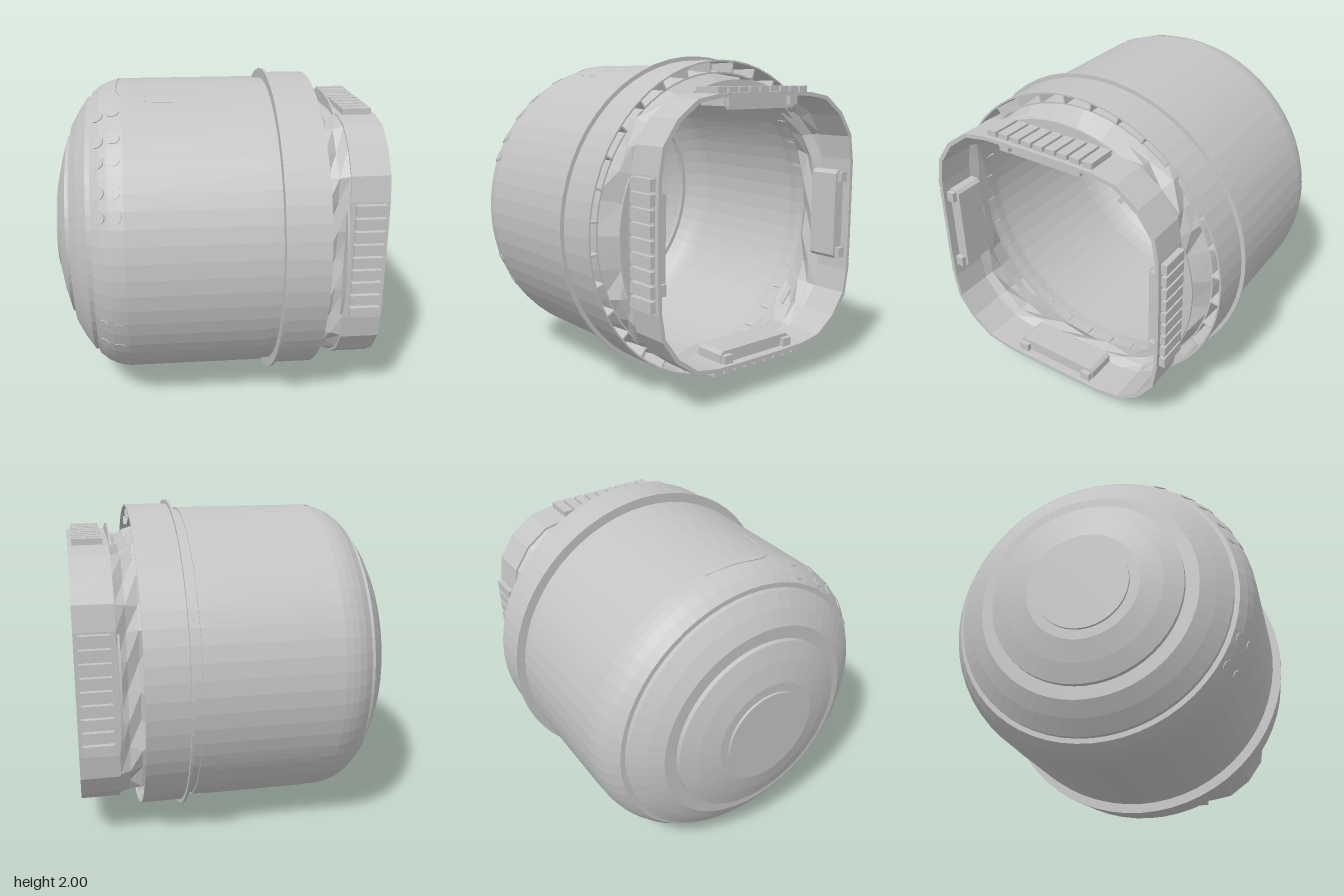
import * as THREE from 'three';

export function createModel() {
  const model = new THREE.Group();
  const body = new THREE.Group(); // long axis along x, raised to stand on the ground
  body.name = 'module';
  body.position.y = 1;
  model.add(body);

  const grey = new THREE.MeshStandardMaterial({ color: 0xc4c4c4, side: THREE.DoubleSide, flatShading: true });
  grey.name = 'metalGrey';

  const add = (geo, name, parent = body) => {
    const m = new THREE.Mesh(geo, grey);
    m.name = name;
    parent.add(m);
    return m;
  };
  const flat = (geo) => {
    const g = geo.index ? geo.toNonIndexed() : geo;
    g.computeVertexNormals();
    return g;
  };
  // Profile of [x, radius] turned round the x axis
  const turned = (profile, name) => {
    const g = new THREE.LatheGeometry(profile.map(([x, r]) => new THREE.Vector2(r, x)), 60);
    return add(flat(g.rotateZ(-Math.PI / 2)), name);
  };
  // Skin over closed loops of [x, y, z]
  const loft = (loops, name) => {
    const pos = [];
    for (let i = 0; i < loops.length - 1; i++) {
      const n = loops[i].length;
      for (let j = 0; j < n; j++) {
        const k = (j + 1) % n;
        const a = loops[i][j], b = loops[i][k], c = loops[i + 1][k], d = loops[i + 1][j];
        pos.push(...a, ...d, ...c, ...a, ...c, ...b);
      }
    }
    const g = new THREE.BufferGeometry();
    g.setAttribute('position', new THREE.Float32BufferAttribute(pos, 3));
    g.computeVertexNormals();
    return add(g, name);
  };
  const box = (x0, x1, y0, y1, z0, z1, name, parent) => {
    const g = new THREE.BoxGeometry(x1 - x0, y1 - y0, z1 - z0);
    return add(g.translate((x0 + x1) / 2, (y0 + y1) / 2, (z0 + z1) / 2), name, parent);
  };

  // Pressure hull with stepped domed end
  turned([[-0.99, 0], [-0.99, 0.28], [-0.975, 0.28], [-0.975, 0.34], [-0.945, 0.47], [-0.91, 0.58],
    [-0.88, 0.58], [-0.88, 0.66], [-0.83, 0.75], [-0.77, 0.835], [-0.74, 0.835], [-0.74, 0.865],
    [-0.69, 0.905], [-0.64, 0.93], [-0.6, 0.942], [-0.55, 0.95], [0.29, 0.95], [0.29, 0.94], [0.35, 0.94]], 'hull');

  // Flange and skirt with an open groove at the mouth
  turned([[0.345, 0.94], [0.345, 1], [0.36, 1], [0.36, 0.975], [0.615, 0.975], [0.615, 0.965],
    [0.42, 0.96], [0.42, 0.915], [0.58, 0.905], [0.58, 0.895], [0.345, 0.93]], 'skirt');
  for (let i = 0; i < 32; i++) {
    const arm = new THREE.Group();
    arm.name = 'grooveRib';
    arm.rotation.x = (i + 0.5) / 32 * Math.PI * 2;
    body.add(arm);
    box(0.42, 0.6, 0.905, 0.967, -0.005, 0.005, 'rib', arm);
  }

  // Rounded square section shared by the collar and docking ring
  const section = [];
  for (let q = 0; q < 4; q++) {
    for (const [a, b] of [[0.79, -0.19], [0.79, 0], [0.79, 0.19], [0.785, 0.37], [0.76, 0.52], [0.66, 0.66],
      [0.52, 0.76], [0.37, 0.785]]) {
      const r = [[a, b], [-b, a], [-a, -b], [b, -a]][q];
      section.push({ z: r[0], y: r[1] });
    }
  }
  const square = (x, s, jag = 0) => section.map(({ y, z }, i) => {
    const k = s + (i % 2 ? jag : -jag);
    return [x, y * k, z * k];
  });
  const round = (x, r) => section.map(({ y, z }) => {
    const l = Math.hypot(y, z);
    return [x, y / l * r, z / l * r];
  });

  // Creased collar joining the round mouth to the square ring
  loft([round(0.5, 0.9), square(0.62, 0.965, 0.02), square(0.69, 0.95, -0.015), square(0.75, 0.985)], 'collar');

  // Docking ring
  loft([square(0.75, 1), square(0.985, 1), square(0.985, 0.972), square(0.75, 0.972), square(0.75, 1)], 'dockingRing');

  // Fittings repeated on the four sides of the ring
  for (let q = 0; q < 4; q++) {
    const side = new THREE.Group();
    side.name = 'ringSide';
    side.rotation.x = q * Math.PI / 2;
    body.add(side);
    for (let i = -4; i <= 4; i++) {
      const z = i * 0.0815;
      box(0.78, 0.96, 0.78, 0.822, z - 0.032, z + 0.032, 'gripBar', side);
    }
    // Bevelled inner bracket
    const s = new THREE.Shape([[-0.285, 0.78], [-0.285, 0.715], [-0.265, 0.695], [0.265, 0.695], [0.285, 0.715],
      [0.285, 0.78]].map((p) => new THREE.Vector2(...p)));
    const bracket = new THREE.ExtrudeGeometry(s, { depth: 0.19, bevelEnabled: false });
    add(bracket.rotateY(Math.PI / 2).translate(0.74, 0, 0), 'bracket', side);
    for (const z of [-0.245, 0.245]) box(0.9, 0.96, 0.715, 0.78, z - 0.032, z + 0.032, 'latch', side);
    // Thin lip standing proud behind the ring
    const lip = new THREE.Shape();
    const a = Math.acos(0.785 / 0.86);
    lip.absarc(0, 0, 0.86, Math.PI / 2 - a, Math.PI / 2 + a, false);
    lip.closePath();
    const lipGeo = new THREE.ExtrudeGeometry(lip, { depth: 0.012, bevelEnabled: false, curveSegments: 10 });
    add(lipGeo.rotateY(Math.PI / 2).translate(0.73, 0, 0), 'lip', side);
  }

  // Curved panels on the back of the hull, above and below, outside and inside
  for (const [from, to] of [[2.03, 2.33], [2.43, 2.73], [3.55, 3.85], [3.95, 4.25]]) {
    for (const r of [0.953, 0.942]) {
      const g = new THREE.CylinderGeometry(r, r, 0.66, 6, 1, true, -to, to - from);
      add(flat(g.rotateZ(-Math.PI / 2).translate(-0.12, 0, 0)), 'hullPanel');
    }
  }

  // Small round ports near the shoulder
  for (const angle of [2.03, 2.25, 2.4, 2.6, 2.75, 3.5, 3.7]) {
    for (const [x, r, tilt] of [[-0.6, 0.94, 0.22], [-0.69, 0.904, 0.58]]) {
      const pivot = new THREE.Group();
      pivot.name = 'port';
      pivot.rotation.x = Math.PI / 2 - angle;
      pivot.rotation.x *= -1;
      body.add(pivot);
      const disc = add(new THREE.CylinderGeometry(0.038, 0.038, 0.008, 14), 'portCover', pivot);
      disc.position.set(x, r, 0);
      disc.rotation.z = tilt;
    }
  }

  // Cable curving over the top of the hull
  const cable = [[-0.57, -0.18], [-0.58, 0], [-0.58, 0.2], [-0.53, 0.29], [-0.42, 0.335], [-0.23, 0.35]]
    .map(([x, z]) => new THREE.Vector3(x, Math.sqrt(0.947 ** 2 - z * z), z));
  add(new THREE.TubeGeometry(new THREE.CatmullRomCurve3(cable), 30, 0.005, 5), 'cable');

  // Short rods inside the hull
  for (const s of [1, -1]) {
    const rod = box(-0.62, -0.6, 0.6, 0.74, -0.008, 0.008, 'innerRod');
    const knob = box(-0.63, -0.59, 0.73, 0.77, -0.02, 0.02, 'innerKnob');
    rod.rotation.x = knob.rotation.x = s > 0 ? -Math.PI / 4 : Math.PI * 3 / 4;
  }
  return model;
}
